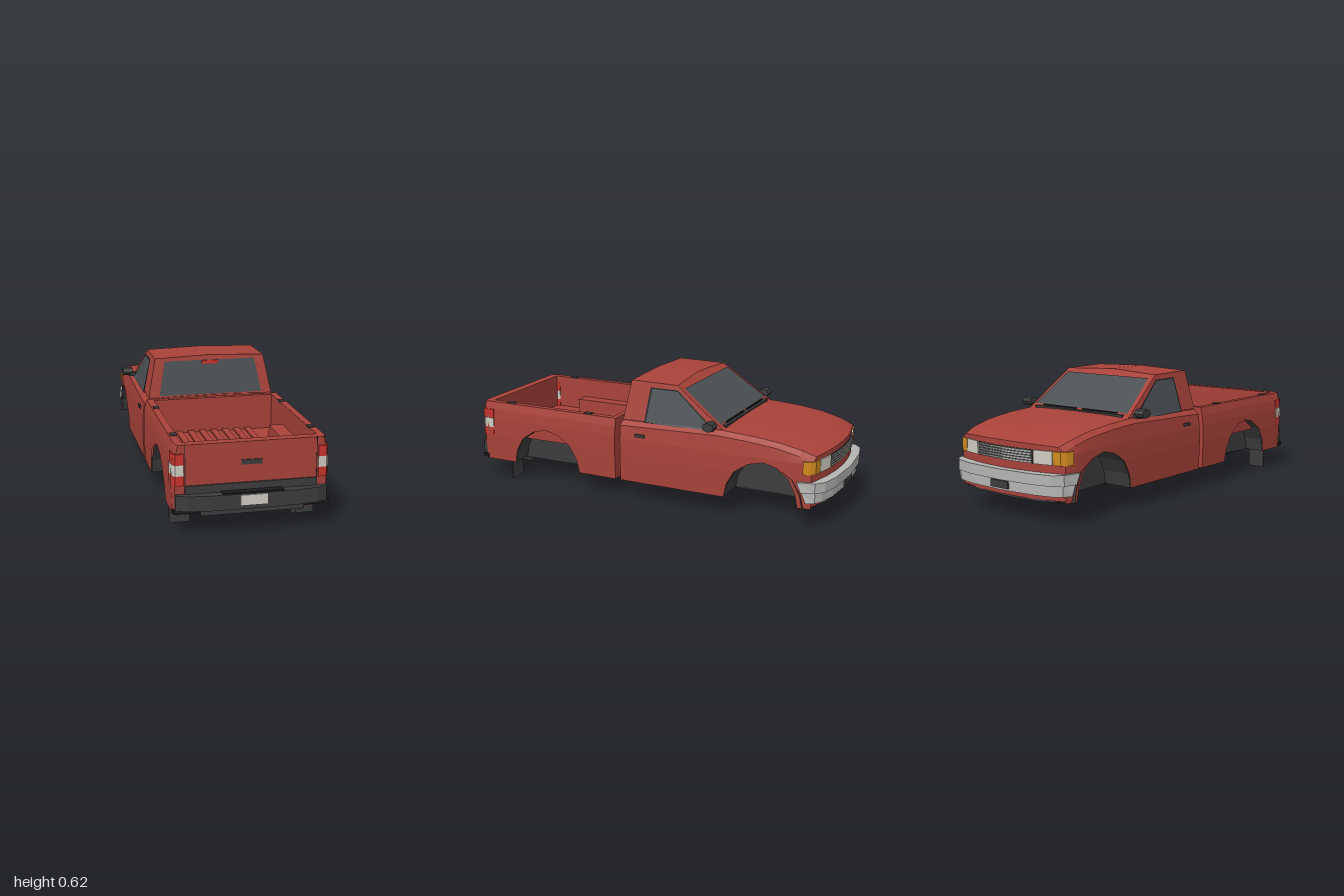
import * as THREE from 'three';

const mat = (color) => new THREE.MeshStandardMaterial({ color, flatShading: true, side: THREE.DoubleSide });
const RED = mat(0xa8423a), DARK = mat(0x3c3c3d), BLACK = mat(0x1c1c1c), GLASS = mat(0x4b5053),
  LAMP = mat(0xc8332c), WHITE = mat(0xcfccc2), ORANGE = mat(0xd08a1e), CHROME = mat(0xb4b4b2);

export function createModel() {
  const root = new THREE.Group();
  const add = (name, geo, m) => {
    const mesh = new THREE.Mesh(geo, m);
    mesh.name = name;
    root.add(mesh);
    return mesh;
  };
  // box given by its minimum and maximum on each axis
  const box = (name, m, x0, x1, y0, y1, z0, z1) =>
    add(name, new THREE.BoxGeometry(x1 - x0, y1 - y0, z1 - z0)
      .translate((x0 + x1) / 2, (y0 + y1) / 2, (z0 + z1) / 2), m);
  const fromTriangles = (pts) => {
    const g = new THREE.BufferGeometry();
    g.setAttribute('position', new THREE.Float32BufferAttribute(pts.flat(), 3));
    g.computeVertexNormals();
    return g;
  };
  // skin between successive cross-sections
  const loft = (name, m, rows) => {
    const t = [];
    for (let i = 0; i + 1 < rows.length; i++)
      for (let j = 0; j + 1 < rows[i].length; j++) {
        const a = rows[i][j], b = rows[i][j + 1], c = rows[i + 1][j + 1], d = rows[i + 1][j];
        t.push(a, b, c, a, c, d);
      }
    return add(name, fromTriangles(t), m);
  };
  // flat convex panel
  const panel = (name, m, p) => {
    const t = [];
    for (let i = 1; i + 1 < p.length; i++) t.push(p[0], p[i], p[i + 1]);
    return add(name, fromTriangles(t), m);
  };
  // plan outline of [x, z] points raised from y0 to y1
  const plan = (name, m, pts, y0, y1) => {
    const s = new THREE.Shape(pts.map(([x, z]) => new THREE.Vector2(x, -z)));
    const g = new THREE.ExtrudeGeometry(s, { depth: y1 - y0, bevelEnabled: false });
    return add(name, g.rotateX(-Math.PI / 2).translate(0, y0, 0), m);
  };
  const mirrorX = (pts) => [...pts, ...pts.filter((p) => p[0] > 0).reverse().map(([x, ...r]) => [-x, ...r])];
  const polyline = (pts, v) => {
    for (let i = 0; i + 1 < pts.length; i++) {
      const [a, p] = pts[i], [b, q] = pts[i + 1];
      if (v >= a && v <= b) return p + (q - p) * (v - a) / (b - a);
    }
    return v < pts[0][0] ? pts[0][1] : pts[pts.length - 1][1];
  };

  // wheel arch outline, and body half-width by height
  const halfArch = [[-0.2, 0.1], [-0.185, 0.17], [-0.145, 0.24], [-0.075, 0.287], [0, 0.305]];
  const arch = [...halfArch, ...halfArch.slice(0, 4).reverse().map(([z, y]) => [-z, y])];
  const REAR = 0.545, FRONT = -0.67;
  const width = (y) => polyline([[0.1, 0.355], [0.24, 0.36], [0.33, 0.358], [0.38, 0.353], [0.42, 0.343]], y);
  const archStations = (c) => arch.map(([z]) => c + z);

  // cargo bed: outer skin, rails and inner walls in one section per side
  const bedZ = [0.13, ...archStations(REAR), 0.915, 0.94];
  const bedSide = (z) => {
    const b = polyline(arch, z - REAR), k = z > 0.93 ? 0.012 : 0;
    return [b, Math.max(b, 0.24), 0.33, 0.38, 0.42].map((y) => [width(y) - k, y, z]);
  };
  for (const s of [1, -1])
    loft('bedSide', RED, bedZ.map((z) =>
      [...bedSide(z), [0.31, 0.42, z], [0.31, 0.24, z]].map(([x, y, q]) => [s * x, y, q])));
  panel('bedFrontPanel', RED, mirrorX(bedSide(0.13)));
  panel('bedRearPanel', RED, mirrorX(bedSide(0.94)));
  box('bedFrontWall', RED, -0.31, 0.31, 0.235, 0.42, 0.131, 0.16);
  box('tailgate', RED, -0.31, 0.31, 0.235, 0.42, 0.895, 0.942);
  box('bedFloor', RED, -0.31, 0.31, 0.23, 0.24, 0.14, 0.92);
  for (let i = -3; i <= 3; i++)
    box('floorRib', RED, i * 0.06 - 0.016, i * 0.06 + 0.016, 0.24, 0.25, 0.16, 0.895);
  box('tailgateHandle', DARK, -0.048, 0.048, 0.315, 0.337, 0.94, 0.947);

  // cab and bonnet lower body, with a nose bowed in plan
  const top = (z) => polyline([[-0.94, 0.362], [-0.87, 0.386], [-0.75, 0.41], [-0.6, 0.427], [-0.44, 0.436], [0.1, 0.42]], z);
  const taper = (z) => polyline([[-0.94, 0.925], [-0.87, 0.965], [-0.75, 0.985], [-0.6, 1]], z);
  const bow = (x, z) => z + THREE.MathUtils.clamp((-0.7 - z) / 0.24, 0, 1) * (0.5 * x * x - 0.02);
  const cabZ = [-0.94, -0.905, ...archStations(FRONT), -0.75, -0.44, 0.1].sort((a, b) => a - b);
  const cabSection = (z) => {
    const b = polyline(arch, z - FRONT), t = top(z);
    const half = [[width(b), b], [width(Math.max(b, 0.24)), Math.max(b, 0.24)], [0.358, 0.325],
      [0.35, t - 0.03], [0.325, t - 0.008], [0.22, t - 0.003], [0.11, t - 0.001], [0, t]];
    return mirrorX(half.map(([x, y]) => [x * taper(z), y])).map(([x, y]) => [x, y, bow(x, z)]);
  };
  loft('cabBody', RED, cabZ.map(cabSection));
  const noseRing = cabSection(-0.94);
  loft('nose', RED, [noseRing, noseRing.map(([x, , z]) => [x, 0.11, z])]);
  panel('cabBackPanel', RED, cabSection(0.1));

  // upper cab: sloping sides, rear and windscreen planes
  const sideX = (y) => 0.325 - (y - 0.42) * 0.2;
  const rearZ = (y) => 0.095 - (y - 0.42) * 0.154;
  const screenZ = (y) => -0.44 + (y - 0.435) / 0.712;
  const ring = (zf, y) => [sideX(y), y, zf(y)];
  const flip = ([x, y, z]) => [-x, y, z];
  const rb = ring(rearZ, 0.415), rt = ring(rearZ, 0.615), fb = ring(screenZ, 0.43), ft = ring(screenZ, 0.613);
  const rc = [0, 0.625, rearZ(0.625)], fc = [0, 0.625, screenZ(0.625)];
  panel('cabRear', RED, [rb, rt, rc, flip(rt), flip(rb)]);
  panel('screenFrame', RED, [fb, ft, fc, flip(ft), flip(fb)]);
  loft('roof', RED, [[rt, rc, flip(rt)], [ft, fc, flip(ft)]]);
  panel('rearWindow', GLASS, mirrorX([[0.27, 0.425], [0.237, 0.6]]).map(([x, y]) => [x, y, rearZ(y) + 0.004]));
  panel('windscreen', GLASS, mirrorX([[0.302, 0.446], [0.266, 0.594]]).map(([x, y]) => [x, y + 0.003, screenZ(y) - 0.003]));
  box('highBrakeLight', LAMP, -0.043, 0.043, 0.58, 0.598, 0.06, 0.077);
  box('cowl', DARK, -0.285, 0.285, 0.43, 0.442, -0.45, -0.425);
  for (const s of [-1, 1])
    box('wiper', BLACK, s * 0.13 - 0.11, s * 0.13 + 0.11, 0.444, 0.45, -0.438, -0.43);

  // details on both flanks
  for (const s of [1, -1]) {
    const sbox = (name, m, x0, x1, ...r) => box(name, m, Math.min(s * x0, s * x1), Math.max(s * x0, s * x1), ...r);
    const splan = (name, m, pts, y0, y1) => plan(name, m, pts.map(([x, z]) => [s * x, z]), y0, y1);
    panel('cabSide', RED, [rb, rt, ft, fb].map(([x, y, z]) => [s * x, y, z]));
    const win = [[-0.025, 0.4], [-0.045, 0.59], [-0.195, 0.59], [-0.405, 0.425], [-0.405, 0.4]];
    panel('windowFrame', BLACK, win.map(([z, y]) => [s * (sideX(y) + 0.003), Math.max(y, 0.415), z]));
    panel('sideWindow', GLASS, win.map(([z, y]) =>
      [s * (sideX(y) + 0.006), 0.5 + (Math.max(y, 0.413) - 0.5) * 0.93, -0.19 + (z + 0.19) * 0.93]));
    sbox('doorHandle', DARK, 0.345, 0.363, 0.342, 0.357, -0.04, 0.012);
    // wing mirror on a short arm
    sbox('mirrorArm', DARK, 0.31, 0.36, 0.425, 0.445, -0.41, -0.385);
    const head = new THREE.CylinderGeometry(0.024, 0.024, 0.052, 8).rotateZ(Math.PI / 2).scale(1, 0.95, 1.25);
    add('mirror', head.translate(s * 0.37, 0.452, -0.4), DARK);

    // wheel wells and mud flap
    for (const [c, inner] of [[REAR, 0.245], [FRONT, 0.2]]) {
      loft('wheelWell', DARK, [0.354, inner].map((x) => arch.map(([z, y]) => [s * x, y, c + z])));
      panel('wellInnerWall', DARK, arch.map(([z, y]) => [s * inner, y, c + z]));
    }
    sbox('wheelHump', RED, 0.24, 0.312, 0.24, 0.315, 0.365, 0.705);
    sbox('mudFlap', DARK, 0.25, 0.345, 0, 0.105, 0.772, 0.779);

    // tail lamps, stake pockets, tailgate seam
    [[0.235, 0.28, LAMP, 0.361], [0.28, 0.33, WHITE, 0.362], [0.33, 0.38, LAMP, 0.359]].forEach(([y0, y1, m, x]) =>
      splan('tailLamp', m, [[0.307, 0.948], [0.345, 0.947], [x - 0.005, 0.93], [x, 0.875], [0.307, 0.875]], y0, y1));
    for (const z of [0.3, 0.775]) sbox('stakePocket', DARK, 0.308, 0.336, 0.415, 0.424, z - 0.02, z + 0.02);
    sbox('tailgateSeam', BLACK, 0.299, 0.302, 0.235, 0.421, 0.935, 0.943);

    // headlamp and wraparound corner lamp
    const edge = (x, o) => [x, bow(x, -0.94) - o];
    splan('headlamp', WHITE, [edge(0.18, 0.006), edge(0.23, 0.006), edge(0.275, 0.006), edge(0.275, -0.03), edge(0.18, -0.03)], 0.272, 0.335);
    splan('cornerLamp', ORANGE, [edge(0.278, 0.006), [0.318, -0.92], [0.337, -0.9], [0.349, -0.865], [0.3, -0.865]], 0.272, 0.335);
  }

  // grille with slats
  const strip = (x, out, back) => {
    const xs = [-1, -0.5, 0, 0.5, 1].map((k) => k * x);
    return [...xs.map((v) => [v, bow(v, -0.94) - out]), ...xs.reverse().map((v) => [v, bow(v, -0.94) + back])];
  };
  plan('grille', DARK, strip(0.172, 0.003, 0.02), 0.272, 0.335);
  for (let i = 0; i < 5; i++) plan('grilleSlat', CHROME, strip(0.168, 0.007, 0.01), 0.276 + i * 0.012, 0.282 + i * 0.012);

  // front bumper: raked ends, lower tier set back
  const bumper = (name, y0, y1, inset) => {
    const outline = mirrorX([[0, -1 + inset], [0.2, -0.986 + inset], [0.3, -0.962 + inset], [0.343 - inset / 2, -0.925],
      [0.362 - inset / 2, -0.84], [0.34, -0.84], [0.3, -0.9], [0, -0.94]]);
    const g = plan(name, CHROME, outline, y0, y1).geometry, p = g.attributes.position;
    for (let i = 0; i < p.count; i++)
      if (p.getZ(i) > -0.86) p.setZ(i, p.getZ(i) - (0.235 - p.getY(i)) * 0.45);
    g.computeVertexNormals();
  };
  bumper('frontBumperUpper', 0.185, 0.235, 0);
  bumper('frontBumperLower', 0.135, 0.185, 0.014);
  box('frontPlateHolder', DARK, -0.055, 0.055, 0.145, 0.18, -0.992, -0.97);
  plan('frontValance', DARK, mirrorX([[0, -0.955], [0.2, -0.94], [0.3, -0.9], [0.3, -0.88], [0, -0.88]]), 0.1, 0.14);

  // rear bumper, step and plate
  plan('rearBumper', DARK, mirrorX([[0, 0.994], [0.2, 0.99], [0.3, 0.978], [0.347, 0.955], [0.347, 0.925], [0, 0.925]]), 0.125, 0.195);
  box('rearBumperTop', DARK, -0.302, 0.302, 0.195, 0.232, 0.93, 0.948);
  box('rearStepPad', BLACK, -0.14, 0.14, 0.19, 0.2, 0.945, 0.985);
  box('rearBumperBase', BLACK, -0.357, 0.357, 0.108, 0.125, 0.92, 0.955);
  box('rearLowerBar', DARK, -0.237, 0.237, 0.098, 0.12, 0.9, 0.972);
  box('plate', WHITE, -0.063, 0.063, 0.143, 0.192, 0.98, 1);

  // undersides notched around the wheels
  const floor = (name, z0, z1, c, inner) => plan(name, BLACK, mirrorX([[0, z0], [0.35, z0], [0.35, c - 0.2],
    [inner, c - 0.2], [inner, c + 0.2], [0.35, c + 0.2], [0.35, z1], [0, z1]]
    .map(([x, z]) => [z < -0.86 && x > inner ? 0.3 : x, z])), 0.1, 0.108);
  floor('cabUnderside', -0.91, 0.1, FRONT, 0.2);
  floor('bedUnderside', 0.13, 0.935, REAR, 0.245);

  // exhaust tailpipe
  add('tailpipe', new THREE.CylinderGeometry(0.016, 0.016, 0.19, 6).rotateX(Math.PI / 2).translate(0.2, 0.076, 0.833), DARK);
  return root;
}
